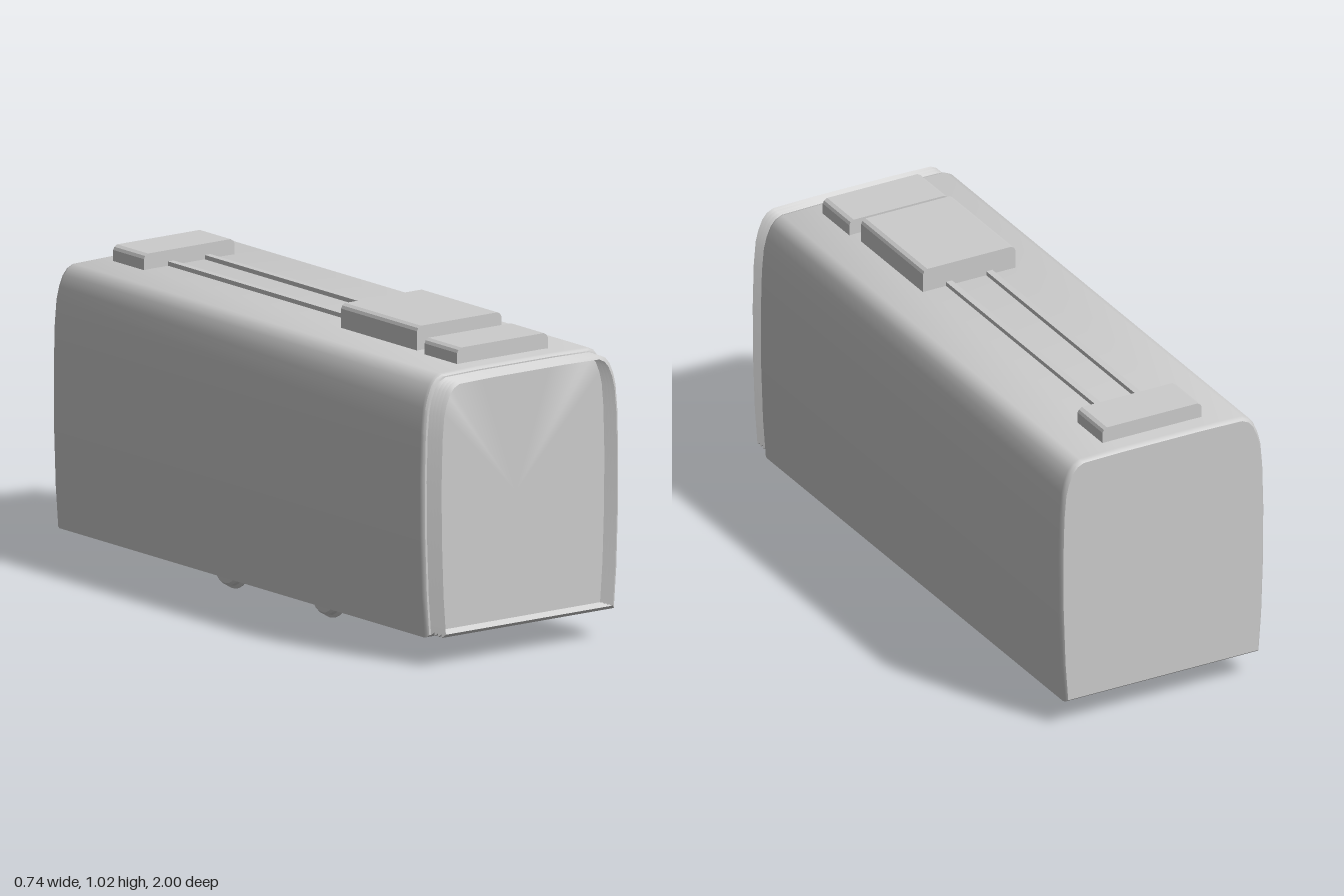
import * as THREE from 'three';
import { toCreasedNormals } from 'three/addons/utils/BufferGeometryUtils.js';

// Right half of the carriage cross-section, bottom to top
const HALF = [[0.353, 0.086], [0.363, 0.22], [0.37, 0.42], [0.371, 0.6], [0.367, 0.75],
  [0.36, 0.83], [0.35, 0.87], [0.335, 0.905], [0.318, 0.925], [0.295, 0.936], [0.15, 0.939]];
const SECTION = [...HALF, ...HALF.map(([x, y]) => [-x, y]).reverse()];
const MID = 0.513;

// Skin through scaled cross-sections; each station is [z, inset]
function loft(stations, capped) {
  const pos = [], n = SECTION.length;
  const rings = stations.map(([z, inset]) => SECTION.map(([x, y]) =>
    [x * (1 - inset / 0.37), MID + (y - MID) * (1 - inset / 0.427), z]));
  for (let i = 0; i < rings.length - 1; i++) {
    for (let j = 0; j < n; j++) {
      const k = (j + 1) % n, a = rings[i], b = rings[i + 1];
      pos.push(...a[j], ...a[k], ...b[k], ...a[j], ...b[k], ...b[j]);
    }
  }
  if (capped) {
    const back = rings[0], front = rings[rings.length - 1];
    for (let j = 0; j < n; j++) {
      const k = (j + 1) % n;
      pos.push(0, MID, back[0][2], ...back[k], ...back[j]);
      pos.push(0, MID, front[0][2], ...front[j], ...front[k]);
    }
  }
  const geo = new THREE.BufferGeometry();
  geo.setAttribute('position', new THREE.Float32BufferAttribute(pos, 3));
  return toCreasedNormals(geo, 0.6);
}

// Roof box with chamfered long edges, extruded along z
function roofBox(w, y0, y1, z0, z1) {
  const c = 0.016, s = new THREE.Shape();
  s.moveTo(-w, y0);
  s.lineTo(w, y0);
  s.lineTo(w, y1 - c);
  s.lineTo(w - c * 0.3, y1 - c * 0.4);
  s.lineTo(w - c, y1);
  s.lineTo(-w + c, y1);
  s.lineTo(-w + c * 0.3, y1 - c * 0.4);
  s.lineTo(-w, y1 - c);
  const geo = new THREE.ExtrudeGeometry(s, { depth: z1 - z0, bevelEnabled: false });
  return geo.translate(0, 0, z0);
}

export function createModel() {
  const group = new THREE.Group();
  const grey = new THREE.MeshStandardMaterial({ color: 0xcccccc, side: THREE.DoubleSide });
  grey.name = 'light grey';
  const add = (name, geo, x = 0, y = 0, z = 0) => {
    const mesh = new THREE.Mesh(geo, grey);
    mesh.name = name;
    mesh.position.set(x, y, z);
    group.add(mesh);
    return mesh;
  };

  // Carriage shell with softened end edges
  add('carriageBody', loft([[-1, 0.009], [-0.993, 0.003], [-0.982, 0], [0.915, 0],
    [0.925, 0.003], [0.93, 0.009]], true));

  // Open folded gangway at the front
  const folds = [];
  for (let i = 0; i <= 8; i++) folds.push([0.928 + i * 0.009, i % 2 ? 0.011 : 0.022]);
  add('gangwayBellows', loft(folds, false));

  // Roof equipment and the two conduits joining it
  add('rearRoofBox', roofBox(0.18, 0.93, 0.99, -0.93, -0.77));
  add('frontRoofBox', roofBox(0.18, 0.93, 0.99, 0.69, 0.86));
  add('mainRoofUnit', roofBox(0.168, 0.93, 1.017, 0.24, 0.635));
  for (const side of [-1, 1]) {
    add('roofConduit', new THREE.BoxGeometry(0.022, 0.022, 1.48), side * 0.073, 0.942, -0.04);
  }

  // Bogie plate under the floor
  add('bogiePlate', new THREE.BoxGeometry(0.51, 0.012, 0.69), 0, 0.085, -0.033);

  // Wheels with an inner flange, turned about the axle
  const profile = [[0, -0.02], [0.075, -0.02], [0.083, -0.016], [0.083, -0.01],
    [0.073, -0.004], [0.07, 0.012], [0.062, 0.019], [0, 0.019]]
    .map(([r, y]) => new THREE.Vector2(r, y));
  const wheelGeo = toCreasedNormals(new THREE.LatheGeometry(profile, 20), 0.5);
  for (const z of [0.222, -0.285]) {
    for (const side of [-1, 1]) {
      const wheel = add('wheel', wheelGeo, side * 0.21, 0.083, z);
      wheel.rotation.z = -side * Math.PI / 2;
    }
    const axle = add('axle', new THREE.CylinderGeometry(0.009, 0.009, 0.4, 10), 0, 0.08, z);
    axle.rotation.z = Math.PI / 2;
  }
  return group;
}
